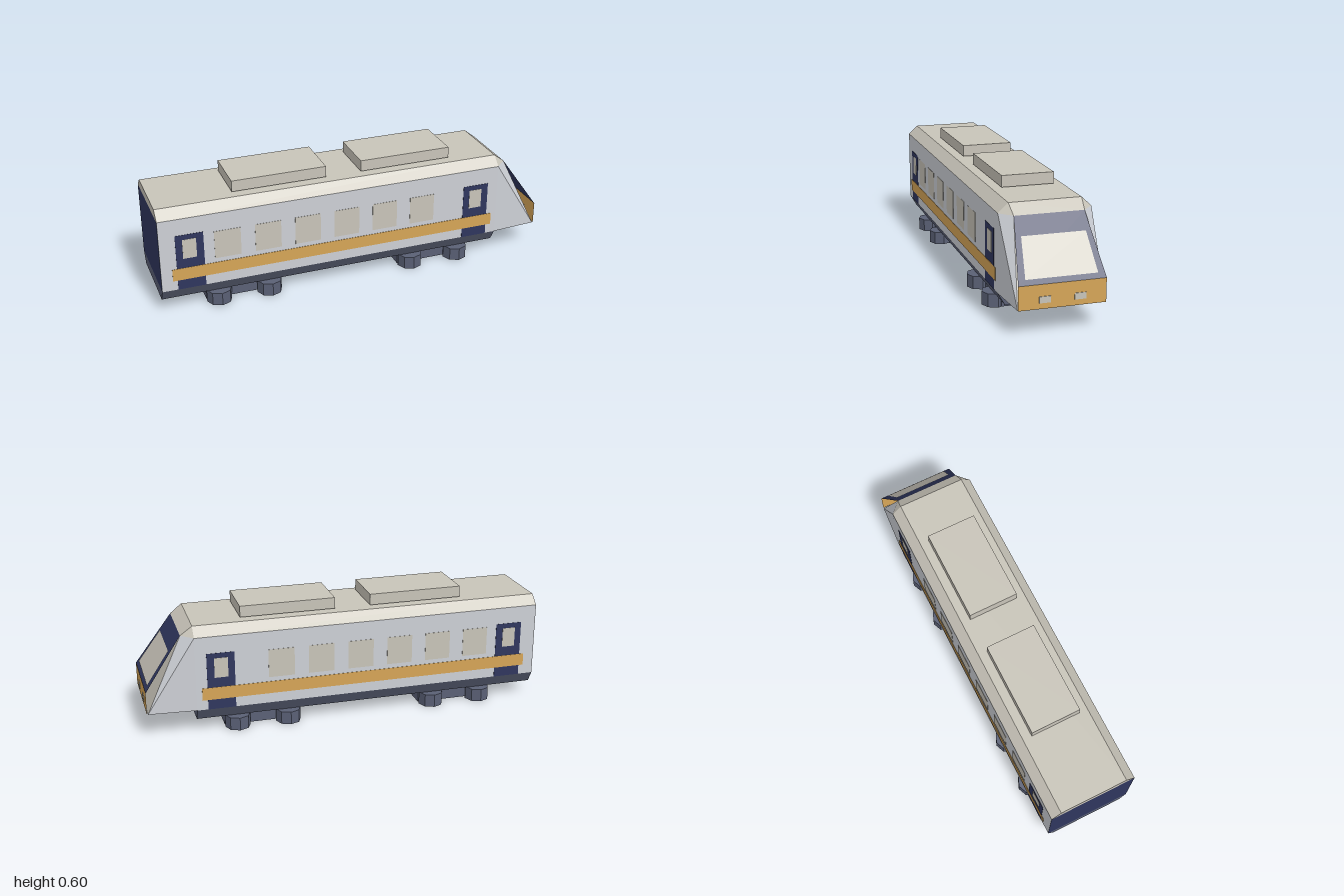
import * as THREE from 'three';

const makeMaterial = (name, color) =>
  new THREE.MeshStandardMaterial({ name, color, side: THREE.DoubleSide });

export function createModel() {
  const train = new THREE.Group();
  train.name = 'railcar';

  const silver = makeMaterial('silver grey', 0xcdd0d6);
  const beige = makeMaterial('warm beige', 0xc8c4b9);
  const navy = makeMaterial('navy', 0x2f365e);
  const amber = makeMaterial('amber', 0xd6a557);
  const slate = makeMaterial('slate', 0x5a6075);

  const REAR = -1, FRONT = 0.757, FLOOR = 0.125, EAVES = 0.497, SIDE = 0.22;

  const add = (name, geometry, material, parent = train) => {
    const mesh = new THREE.Mesh(geometry, material);
    mesh.name = name;
    parent.add(mesh);
    return mesh;
  };

  // Box given by its min and max corners
  const box = (name, material, [x0, y0, z0], [x1, y1, z1], parent) => {
    const geometry = new THREE.BoxGeometry(x1 - x0, y1 - y0, z1 - z0);
    geometry.translate((x0 + x1) / 2, (y0 + y1) / 2, (z0 + z1) / 2);
    return add(name, geometry, material, parent);
  };

  // Flat polygon, counter-clockwise from its front, cut into a fan
  const face = (name, material, points) => {
    const positions = [];
    for (let i = 1; i < points.length - 1; i++) {
      positions.push(...points[0], ...points[i], ...points[i + 1]);
    }
    const geometry = new THREE.BufferGeometry();
    geometry.setAttribute('position', new THREE.Float32BufferAttribute(positions, 3));
    geometry.computeVertexNormals();
    return add(name, geometry, material);
  };

  // Symmetric trapezoid section running the length of the car
  const section = (name, material, y0, half0, y1, half1) => {
    const shape = new THREE.Shape([
      new THREE.Vector2(-half0, y0), new THREE.Vector2(half0, y0),
      new THREE.Vector2(half1, y1), new THREE.Vector2(-half1, y1),
    ]);
    const geometry = new THREE.ExtrudeGeometry(shape, { depth: FRONT - REAR, bevelEnabled: false });
    geometry.rotateY(Math.PI / 2).translate(REAR, 0, 0);
    return add(name, geometry, material);
  };

  // Car body: skirt, walls with a navy end, and chamfered roof
  section('skirt', slate, 0.066, 0.186, FLOOR, SIDE);
  section('walls', [navy, silver], FLOOR, SIDE, EAVES, SIDE);
  section('roof', beige, EAVES, SIDE, 0.542, 0.172);

  // Roof equipment
  for (const x of [-0.615, 0.042]) {
    box('roofUnit', beige, [x, 0.547, -0.127], [x + 0.475, 0.603, 0.127]);
  }

  // Doors, windows and stripe on both sides, as thin plates
  for (const s of [1, -1]) {
    const plate = (name, material, x0, x1, y0, y1, lift) => {
      const mesh = box(name, material, [x0, y0, -0.001], [x1, y1, 0.001]);
      mesh.position.z = s * (SIDE + lift);
    };
    for (const x of [-0.922, 0.567]) {
      plate('door', navy, x, x + 0.136, FLOOR, 0.412, 0.0005);
      plate('doorWindow', beige, x + 0.033, x + 0.1, 0.287, 0.387, 0.002);
    }
    for (let i = 0; i < 6; i++) {
      const x = -0.735 + i * 0.2013;
      plate('sideWindow', beige, x, x + 0.13, 0.259, 0.402, 0.0005);
    }
    plate('sideStripe', amber, -0.945, 0.73, 0.175, 0.237, 0.002);
  }

  // Nose shell
  const TIP = 0.992, BROW = 0.815, browHalf = 0.165, tipHalf = 0.203;
  for (const s of [1, -1]) {
    const eave = [FRONT, EAVES, s * SIDE];
    const base = [FRONT, FLOOR, s * SIDE];
    const tip = [TIP, FLOOR, s * tipHalf];
    const brow = [BROW, EAVES, s * browHalf];
    const ridge = [FRONT, 0.542, s * 0.172];
    const order = (...points) => (s > 0 ? points : points.reverse());
    face('noseSideRear', silver, order(eave, base, tip));
    face('noseSideFront', silver, order(eave, tip, brow));
    face('noseRoofCorner', beige, order(eave, brow, ridge));
  }
  face('noseRoof', beige, [
    [FRONT, 0.542, 0.172], [BROW, EAVES, browHalf],
    [BROW, EAVES, -browHalf], [FRONT, 0.542, -0.172],
  ]);
  face('noseFloor', slate, [
    [FRONT, FLOOR, SIDE], [FRONT, FLOOR, -SIDE],
    [TIP, FLOOR, -tipHalf], [TIP, FLOOR, tipHalf],
  ]);
  face('noseInnerWall', beige, [
    [TIP, FLOOR, tipHalf], [TIP, FLOOR, -tipHalf],
    [BROW, EAVES, -browHalf], [BROW, EAVES, browHalf],
  ]);

  // Sloped cab front, upright panel below it, windscreen and lamps
  const FACE = 0.997, SILL = 0.237;
  const slopeX = (y) => FACE + ((BROW - FACE) * (y - SILL)) / (EAVES - SILL);
  const frontPanel = (name, material, y0, half0, y1, half1, x0, x1) =>
    face(name, material, [
      [x0, y0, half0], [x0, y0, -half0], [x1, y1, -half1], [x1, y1, half1],
    ]);
  frontPanel('cabSlope', navy, SILL, tipHalf, EAVES, browHalf, FACE, BROW);
  frontPanel('cabPanel', amber, FLOOR, tipHalf, SILL, tipHalf, FACE, FACE);
  frontPanel('windscreen', beige, 0.26, 0.167, 0.42, 0.15,
    slopeX(0.26) + 0.004, slopeX(0.42) + 0.004);
  for (const z of [-0.108, 0.055]) {
    box('headlamp', beige, [FACE - 0.001, 0.152, z], [1, 0.182, z + 0.053]);
  }

  // Bogies: a frame with an eight-sided drum at each corner
  for (const x of [-0.586, 0.425]) {
    const bogie = new THREE.Group();
    bogie.name = 'bogie';
    bogie.position.x = x;
    train.add(bogie);
    box('bogieFrame', slate, [-0.19, 0.003, -0.157], [0.19, 0.068, 0.157], bogie);
    for (const dx of [-0.128, 0.128]) {
      for (const dz of [-0.172, 0.172]) {
        const drum = new THREE.CylinderGeometry(0.063, 0.063, 0.065, 8).toNonIndexed();
        drum.computeVertexNormals();
        add('bogieDrum', drum, slate, bogie).position.set(dx, 0.0325, dz);
      }
    }
  }

  return train;
}
